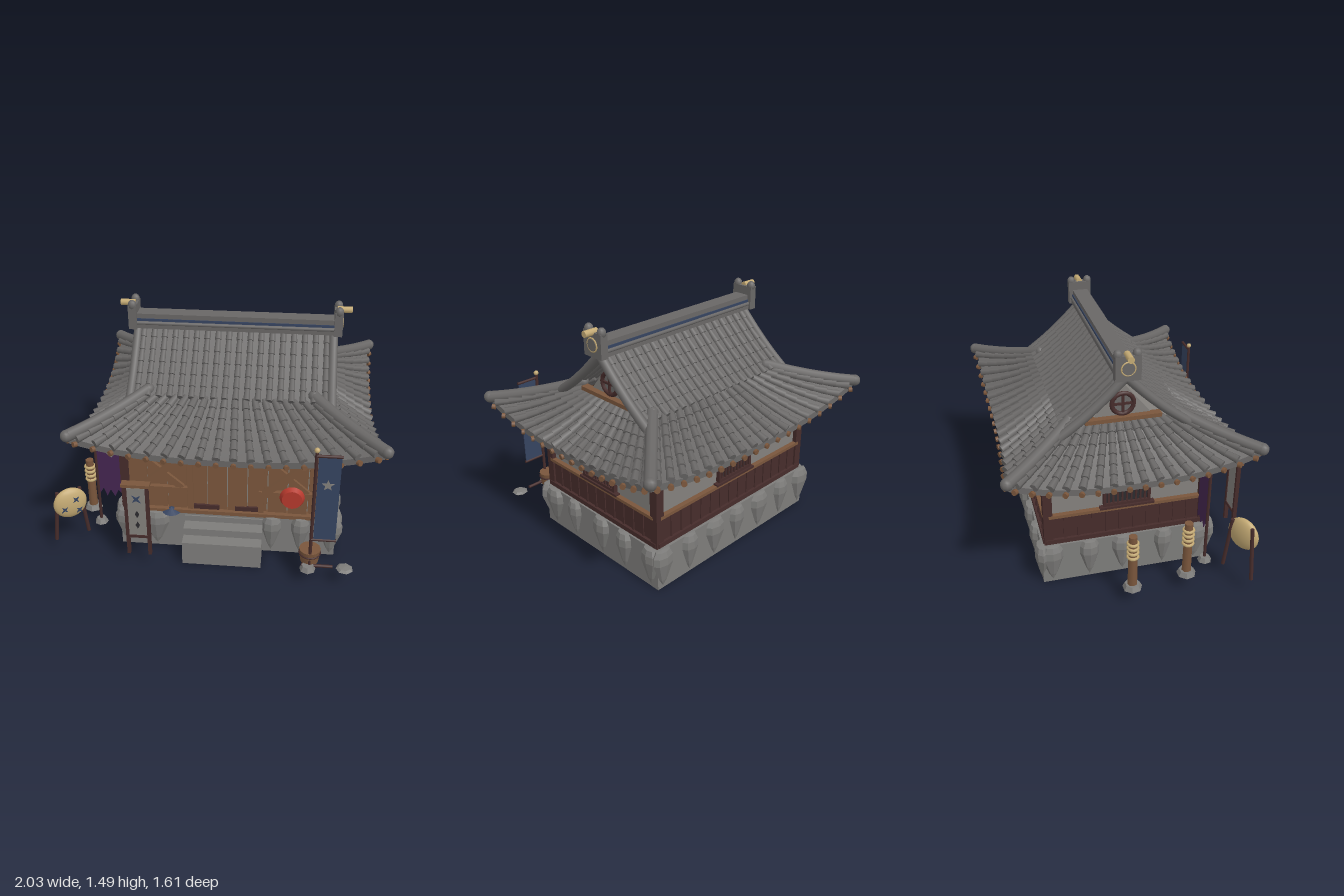
import * as THREE from 'three';
import { mergeGeometries } from 'three/addons/utils/BufferGeometryUtils.js';

const mat = (name, color, side = THREE.FrontSide) => new THREE.MeshStandardMaterial({ name, color, side });
const V = (x, y, z) => new THREE.Vector3(x, y, z);

export function createModel() {
  const D = THREE.DoubleSide;
  const tile = mat('roof tile grey', 0x696766, D), stone = mat('stone grey', 0x7d7c7a, D);
  const plaster = mat('plaster grey', 0x83807c), dark = mat('dark red wood', 0x462c2b);
  const wood = mat('brown wood', 0x7a563c, D), straw = mat('straw gold', 0xc4aa74);
  const red = mat('red lacquer', 0xb5392d), navy = mat('navy', 0x364460, D);
  const purple = mat('purple cloth', 0x442650, D), iron = mat('dark iron', 0x2c2b2e);
  const root = new THREE.Group(), house = new THREE.Group();
  house.name = 'house';
  house.position.set(0.08, 0, -0.055);
  root.add(house);

  const add = (parent, name, geo, m, p = [0, 0, 0], r = [0, 0, 0]) => {
    const mesh = new THREE.Mesh(geo, m);
    mesh.name = name;
    mesh.position.set(...p);
    mesh.rotation.set(...r);
    parent.add(mesh);
    return mesh;
  };
  const box = (parent, name, m, w, h, d, p, r) => add(parent, name, new THREE.BoxGeometry(w, h, d), m, p, r);
  const group = (parent, name, p = [0, 0, 0], ry = 0) => {
    const g = new THREE.Group();
    g.name = name;
    g.position.set(...p);
    g.rotation.y = ry;
    parent.add(g);
    return g;
  };
  const faceted = (g) => { const f = g.toNonIndexed(); f.computeVertexNormals(); return f; };
  const rod = (a, b, ra, rb = ra, n = 8) => { // tapered cylinder from a to b
    const dir = b.clone().sub(a), g = new THREE.CylinderGeometry(rb, ra, dir.length(), n);
    g.applyQuaternion(new THREE.Quaternion().setFromUnitVectors(V(0, 1, 0), dir.normalize()));
    return g.translate(...a.clone().add(b).multiplyScalar(0.5).toArray());
  };
  const plate = (pts) => new THREE.ExtrudeGeometry(new THREE.Shape(pts.map(([x, y]) => new THREE.Vector2(x, y))), { depth: 0.006, bevelEnabled: false });
  const star = (n, r, q) => plate(Array.from({ length: n * 2 }, (_, i) => {
    const a = Math.PI / 2 + i * Math.PI / n, k = i % 2 ? q : r;
    return [k * Math.cos(a), k * Math.sin(a)];
  }));

  // Foundation with pointed facing stones
  box(house, 'foundation', stone, 1.36, 0.27, 1.06, [0, 0.135, 0]);
  const stoneGeo = faceted(new THREE.LatheGeometry([[0, 0], [0.028, 0.05], [0.072, 0.17], [0.07, 0.22], [0.05, 0.255], [0, 0.26]].map(p => new THREE.Vector2(...p)), 8));
  const facing = (x, z, along, w) => add(house, 'facingStone', stoneGeo, stone, [x, 0.015, z]).scale.set(along ? w : 0.6, 1, along ? 0.6 : w);
  [[-0.64, 1], [-0.45, 1.15], [0.28, 0.85], [0.46, 0.8], [0.65, 1]].forEach(([x, w]) => facing(x, 0.53, true, w));
  [-0.65, -0.44, -0.22, 0, 0.2, 0.42, 0.64].forEach((x, i) => facing(x, -0.53, true, i % 2 ? 0.85 : 1.05));
  for (const s of [-1, 1]) [[0.44, 1.1], [0.23, 0.8], [-0.03, 0.95], [-0.24, 0.85], [-0.47, 0.95]].forEach(([z, w]) => facing(s * 0.68, z, false, w));

  // Entrance steps
  [[0.16, 0.7], [0.21, 0.62], [0.25, 0.54]].forEach(([h, z]) => box(house, 'step', stone, 0.49, h, 0.09, [-0.02, h / 2, z - 0.045]));

  // Walls, corner posts and beams
  box(house, 'plasterWalls', plaster, 1.28, 0.59, 0.97, [0, 0.565, 0]);
  for (const x of [-0.64, 0.64]) for (const z of [-0.485, 0.485]) box(house, 'cornerPost', dark, 0.055, 0.58, 0.055, [x, 0.56, z]);
  const wallSide = (len, dist, ry) => {
    const g = group(house, 'wallTrim', [0, 0, 0], ry);
    box(g, 'wainscot', dark, len, 0.18, 0.02, [0, 0.375, dist]);
    box(g, 'sillBeam', dark, len + 0.06, 0.03, 0.055, [0, 0.29, dist]);
    box(g, 'railBeam', wood, len + 0.02, 0.02, 0.05, [0, 0.468, dist]);
    const n = Math.round(len / 0.085);
    for (let i = 0; i <= n; i++) box(g, 'batten', dark, 0.014, 0.17, 0.034, [(i / n - 0.5) * len, 0.375, dist]);
    const w = group(g, 'latticeWindow', [0, 0.575, dist + 0.004]);
    box(w, 'windowDark', iron, 0.27, 0.15, 0.008, [0, 0, 0]);
    for (const s of [-1, 1]) {
      box(w, 'windowFrame', dark, 0.29, 0.018, 0.035, [0, s * 0.076, 0]);
      box(w, 'windowFrame', dark, 0.018, 0.16, 0.035, [s * 0.137, 0, 0]);
    }
    box(w, 'windowSill', dark, 0.34, 0.014, 0.05, [0, -0.095, 0]);
    for (let i = -4; i <= 4; i++) box(w, 'windowBar', dark, 0.012, 0.15, 0.02, [i * 0.028, 0, 0.004]);
    box(w, 'windowBar', dark, 0.26, 0.01, 0.024, [0, 0.035, 0.004]);
  };
  wallSide(0.94, 0.645, Math.PI / 2);
  wallSide(0.94, 0.645, -Math.PI / 2);
  wallSide(1.25, 0.49, Math.PI);

  // Plank front with braced bays
  for (let i = 0; i < 10; i++) box(house, 'frontPlank', wood, 0.118, 0.54, 0.03 + (i * 7 % 3) * 0.01, [-0.56 + i * 0.1244, 0.56, 0.49]);
  box(house, 'threshold', wood, 1.3, 0.025, 0.08, [0, 0.28, 0.5]);
  for (const x of [-0.23, 0.21]) box(house, 'doorPost', wood, 0.035, 0.54, 0.05, [x, 0.56, 0.5]);
  for (const x of [-0.41, 0.36]) {
    for (const y of [0.44, 0.665]) box(house, 'braceRail', wood, 0.33, 0.04, 0.03, [x, y, 0.525]);
    for (const s of [-1, 1]) box(house, 'braceDiagonal', wood, 0.35, 0.042, 0.025, [x, 0.57, 0.535 + s * 0.012], [0, 0, s * 0.72]);
  }
  for (const x of [-0.13, 0.13]) box(house, 'doorFoot', dark, 0.16, 0.03, 0.015, [x, 0.31, 0.515]);

  // Hip-and-gable roof surfaces: u runs across, s runs downhill
  const lower = (ry, a0, b0) => (u, s) => {
    const across = a0 + (ry ? 0.38 : 0.37) * s, out = b0 + (ry ? 0.37 : 0.38) * s - 0.03 * s * (1 - u * u);
    const y = 0.99 - 0.27 * s + 0.05 * s * s + 0.125 * s * Math.pow(Math.abs(u), 2.5);
    return ry ? V(out, y, u * across) : V(u * across, y, out);
  };
  const frontLow = lower(false, 0.53, 0.34), sideLow = lower(true, 0.34, 0.53);
  const upper = (u, t) => V(u * 0.6, 1.31 - 0.32 * (1.2 * t - 0.2 * t * t), 0.36 * t);
  const sheet = (f, nu = 24, ns = 8) => {
    const g = new THREE.PlaneGeometry(1, 1, nu, ns), p = g.attributes.position;
    for (let i = 0; i < p.count; i++) p.setXYZ(i, ...f(p.getX(i) * 2, 0.5 - p.getY(i)).toArray());
    g.computeVertexNormals();
    return g;
  };
  const ribs = (f, n, rows, r) => {
    const parts = [];
    for (let i = 0; i < n; i++) {
      const u = ((i + 0.5) / n) * 2 - 1;
      for (let k = 0; k < rows; k++) {
        const a = f(u, k / rows), b = f(u, (k + 1.06) / rows);
        a.y += 0.004; b.y += 0.009;
        parts.push(rod(a, b, r * 0.85, r * 1.1, 7));
      }
    }
    return mergeGeometries(parts);
  };
  const slope = (g, f, n) => {
    add(g, 'lowerRoof', sheet(f), tile);
    add(g, 'soffit', sheet((u, s) => f(u, s).add(V(0, -0.04, 0))), wood);
    add(g, 'eaveEdge', sheet((u, s) => f(u, 1).add(V(0, -0.04 * s, 0)), 24, 1), tile);
    add(g, 'roofTiles', ribs(f, n, 6, 0.023), tile);
    const ends = [];
    for (let i = 0; i < n; i++) {
      const u = ((i + 0.5) / n) * 2 - 1, b = f(u, 1.015), c = f(u, 1.06);
      ends.push(rod(b.add(V(0, -0.022, 0)), c.add(V(0, -0.016, 0)), 0.017, 0.017, 8));
    }
    add(g, 'eaveEnds', mergeGeometries(ends), wood);
  };
  for (const ry of [0, Math.PI]) {
    const front = group(house, 'longRoofSide', [0, 0, 0], ry);
    slope(front, frontLow, 18);
    add(front, 'upperRoof', sheet(upper), tile);
    add(front, 'upperTiles', ribs(upper, 18, 6, 0.019), tile);
    const side = group(house, 'shortRoofSide', [0, 0, 0], ry);
    slope(side, sideLow, 16);
    // Round hip ridges and gable edges
    for (const s of [-1, 1]) {
      const hip = [-0.08, 0.2, 0.5, 0.8, 1.02].map(t => frontLow(s, t).add(V(0, 0.015, 0)));
      add(front, 'hipRidge', new THREE.TubeGeometry(new THREE.CatmullRomCurve3(hip), 16, 0.036, 10), tile);
      for (const e of [hip[0], hip[4]]) add(front, 'hipEnd', new THREE.SphereGeometry(0.037, 10, 8), tile, e.toArray());
      const edge = [0, 0.35, 0.7, 1.08].map(t => upper(s * 1.01, t));
      add(front, 'gableEdge', new THREE.TubeGeometry(new THREE.CatmullRomCurve3(edge), 12, 0.028, 10), tile);
    }
    // Gable wall with round window
    const gable = group(side, 'gable', [0.53, 0, 0], Math.PI / 2);
    add(gable, 'gableWall', plate([[-0.18, 1.02], [0.18, 1.02], [0, 1.24]]), plaster);
    box(gable, 'gableBeam', wood, 0.46, 0.025, 0.05, [0, 1.022, 0.02]);
    add(gable, 'roundWindowBack', new THREE.CircleGeometry(0.065, 20), tile, [0, 1.11, 0.01]);
    add(gable, 'roundWindowFrame', new THREE.TorusGeometry(0.066, 0.014, 8, 20), dark, [0, 1.11, 0.012]);
    box(gable, 'windowCross', dark, 0.13, 0.013, 0.015, [0, 1.11, 0.014]);
    box(gable, 'windowCross', dark, 0.013, 0.13, 0.015, [0, 1.11, 0.014]);
    // Ridge end ornament
    const end = group(side, 'ridgeEnd', [0.63, 1.38, 0], Math.PI / 2);
    box(end, 'ridgeBlock', tile, 0.15, 0.15, 0.05, [0, 0, 0]);
    for (const s of [-1, 1]) add(end, 'ridgeKnob', new THREE.SphereGeometry(0.027, 10, 8), tile, [s * 0.055, 0.077, 0]).scale.y = 1.2;
    add(end, 'ridgeRing', new THREE.TorusGeometry(0.04, 0.005, 6, 20), straw, [0, 0, 0.026]);
    add(end, 'ridgeBoss', new THREE.CylinderGeometry(0.036, 0.036, 0.015, 16), tile, [0, 0, 0.024], [Math.PI / 2, 0, 0]);
    add(end, 'goldPeg', new THREE.CylinderGeometry(0.02, 0.02, 0.09, 10), straw, [0, 0.075, 0.035], [Math.PI / 2, 0, 0]);
  }
  // Main ridge
  box(house, 'ridgeBase', tile, 1.22, 0.035, 0.12, [0, 1.325, 0]);
  box(house, 'ridgeStripe', navy, 1.21, 0.03, 0.11, [0, 1.355, 0]);
  box(house, 'ridgeCap', tile, 1.22, 0.03, 0.1, [0, 1.385, 0]);
  for (const z of [-0.055, 0.055]) add(house, 'ridgeRoll', rod(V(-0.61, 1.342, z), V(0.61, 1.342, z), 0.012), tile);

  // Straw target on legs
  const target = group(root, 'target', [-0.885, 0.37, 0.58], 0.55);
  add(target, 'targetDisc', new THREE.SphereGeometry(0.105, 20, 12), straw).scale.z = 0.38;
  for (const s of [-1, 1]) add(target, 'targetLeg', rod(V(s * 0.105, -0.27, -0.03), V(s * 0.07, 0.08, -0.02), 0.012), dark);
  [[-0.045, -0.02], [0.03, 0.035], [0.045, -0.045]].forEach(([x, y]) => add(target, 'throwingStar', star(4, 0.026, 0.008), navy, [x, y, 0.034], [0, 0, 0.7]));

  // Training posts wrapped in straw
  for (const [x, z] of [[-0.88, -0.1], [-0.84, 0.25]]) {
    const g = group(root, 'trainingPost', [x, 0, z]);
    add(g, 'postBase', faceted(new THREE.CylinderGeometry(0.045, 0.06, 0.03, 7)), stone, [0, 0.115, 0]);
    add(g, 'post', new THREE.CylinderGeometry(0.026, 0.03, 0.35, 8), wood, [0, 0.3, 0]);
    for (let i = 0; i < 4; i++) add(g, 'strawWrap', new THREE.TorusGeometry(0.029, 0.01, 6, 12), straw, [0, 0.33 + i * 0.032, 0], [Math.PI / 2, 0, 0]);
  }

  // Purple banner with ragged hem
  const flag = group(root, 'purpleBanner', [-0.75, 0, 0.4]);
  add(flag, 'bannerPole', rod(V(0, 0.11, 0), V(0, 0.84, 0), 0.01), dark);
  add(flag, 'bannerFoot', faceted(new THREE.CylinderGeometry(0.03, 0.045, 0.03, 7)), stone, [0, 0.115, 0]);
  add(flag, 'bannerCloth', plate([[0.01, 0.82], [0.01, 0.33], [0.035, 0.37], [0.055, 0.31], [0.08, 0.36], [0.105, 0.31], [0.13, 0.36], [0.16, 0.32], [0.16, 0.82]]), purple);
  add(flag, 'bannerMask', plate([[-0.05, 0.04], [-0.02, 0.02], [0.02, 0.02], [0.05, 0.04], [0.035, -0.01], [0, -0.045], [-0.035, -0.01]]), plaster, [0.1, 0.65, 0.003]);

  // Standing notice board
  const sign = group(root, 'noticeBoard', [-0.44, 0, 0.69]);
  for (const s of [-1, 1]) box(sign, 'boardLeg', dark, 0.02, 0.5, 0.025, [s * 0.065, 0.35, 0]);
  box(sign, 'boardTop', wood, 0.17, 0.02, 0.05, [0, 0.61, 0]);
  box(sign, 'boardRail', dark, 0.13, 0.018, 0.025, [0, 0.235, 0]);
  box(sign, 'boardPanel', plaster, 0.11, 0.35, 0.014, [0, 0.41, 0]);
  add(sign, 'boardStar', star(4, 0.036, 0.011), navy, [0, 0.51, 0.005], [0, 0, 0.785]);
  for (const y of [0.4, 0.32]) add(sign, 'boardDiamond', star(2, 0.026, 0.013), iron, [0, y, 0.005]);

  // Blue banner with star
  const blue = group(root, 'blueBanner', [0.6, 0, 0.73]);
  add(blue, 'bannerPole', rod(V(0, 0.11, 0), V(0, 0.92, 0), 0.01), dark);
  add(blue, 'goldFinial', new THREE.SphereGeometry(0.016, 10, 8), straw, [0, 0.935, 0]);
  add(blue, 'bannerFoot', faceted(new THREE.CylinderGeometry(0.035, 0.05, 0.03, 7)), stone, [-0.01, 0.115, 0.01]);
  add(blue, 'bannerCloth', plate([[0.012, 0.9], [0.012, 0.32], [0.14, 0.32], [0.14, 0.9]]), navy);
  for (const y of [0.9, 0.32]) add(blue, 'bannerBar', rod(V(0, y, 0.003), V(0.145, y, 0.003), 0.009), dark);
  add(blue, 'bannerStar', star(5, 0.038, 0.016), plaster, [0.073, 0.71, 0.003]);

  // Bucket, stick, loose stone, hat and red shield
  add(root, 'bucket', new THREE.CylinderGeometry(0.065, 0.055, 0.09, 12), wood, [0.6, 0.165, 0.68]);
  add(root, 'bucketHoop', new THREE.TorusGeometry(0.063, 0.006, 6, 16), dark, [0.6, 0.18, 0.68], [Math.PI / 2, 0, 0]);
  add(root, 'stick', rod(V(0.55, 0.12, 0.73), V(0.74, 0.12, 0.73), 0.01), dark);
  add(root, 'looseStone', faceted(new THREE.SphereGeometry(0.052, 7, 4)), stone, [0.81, 0.115, 0.735]).scale.y = 0.32;
  add(root, 'hat', new THREE.ConeGeometry(0.06, 0.03, 12), navy, [-0.27, 0.287, 0.47]);
  add(root, 'redShield', new THREE.CylinderGeometry(0.062, 0.077, 0.03, 20), red, [0.48, 0.44, 0.51], [Math.PI / 2, 0, 0]);
  return root;
}
